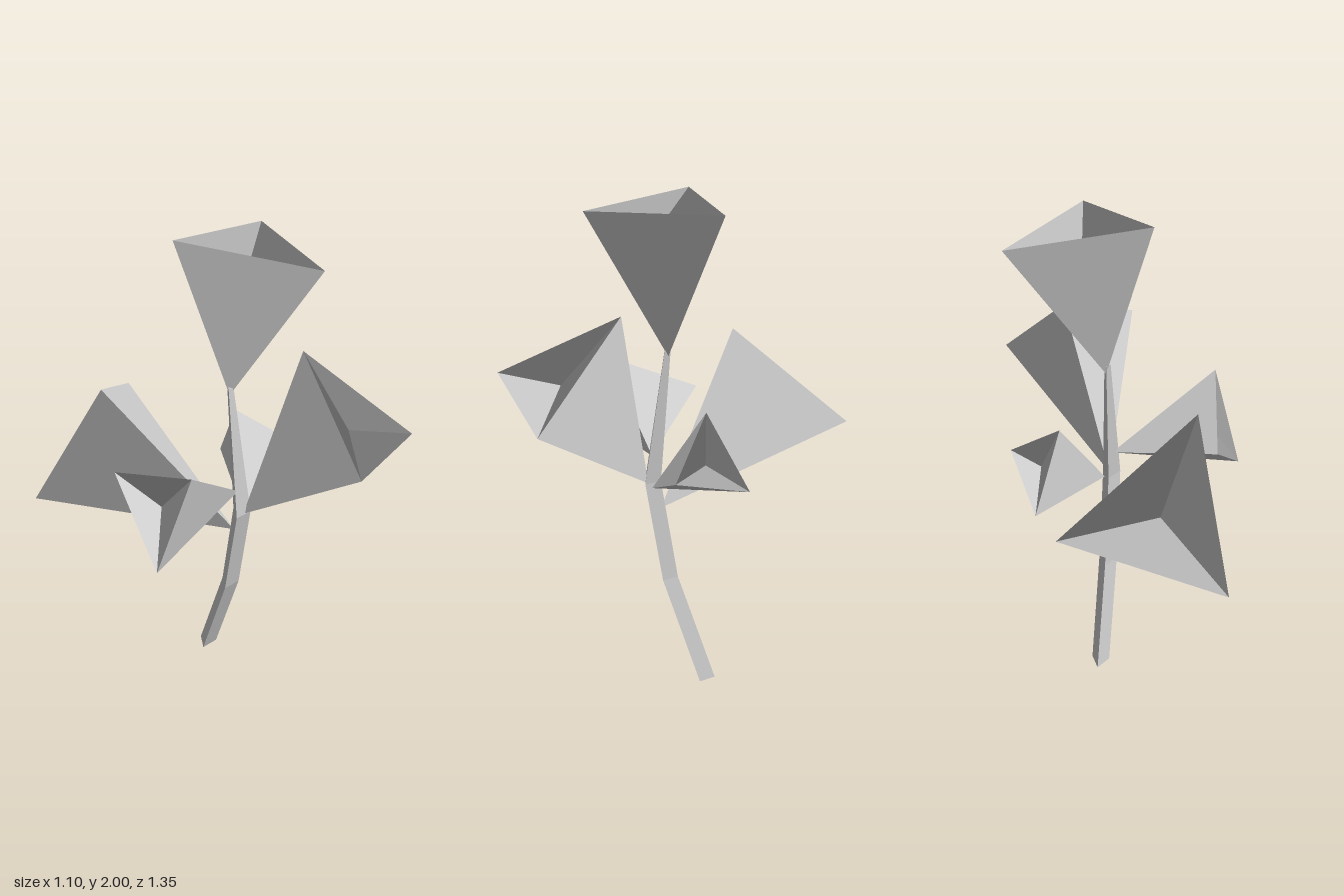
import * as THREE from 'three';

const material = new THREE.MeshStandardMaterial({ color: 0xcccccc, side: THREE.DoubleSide });

// Mesh of four-cornered facets; each facet is folded along its b-d diagonal
// but keeps one common normal, so it is shaded as a single face
function facetMesh(name, facets) {
  const points = [], normals = [];
  for (const [a, b, c, d] of facets) {
    const normal = c.clone().sub(a).cross(d.clone().sub(b)).normalize();
    points.push(a, b, d, b, c, d);
    for (let i = 0; i < 6; i++) normals.push(...normal);
  }
  const geometry = new THREE.BufferGeometry().setFromPoints(points);
  geometry.setAttribute('normal', new THREE.Float32BufferAttribute(normals, 3));
  const mesh = new THREE.Mesh(geometry, material);
  mesh.name = name;
  return mesh;
}

// Three-sided cup: each facet runs from the tip over the rim to the sunken centre
function blossom(name, tipAt, rimAt, dip = 0.91) {
  const tip = new THREE.Vector3(...tipAt);
  const rim = rimAt.map((p) => new THREE.Vector3(...p));
  const mid = new THREE.Vector3().add(rim[0]).add(rim[1]).add(rim[2]).divideScalar(3);
  const normal = new THREE.Triangle(...rim).getNormal(new THREE.Vector3());
  if (normal.dot(mid.clone().sub(tip)) < 0) rim.reverse();
  const centre = tip.clone().lerp(mid, dip);
  return facetMesh(name, rim.map((corner, i) => [tip, rim[(i + 1) % 3], centre, corner]));
}

// Bent three-sided stem, flat side to the front
function stem() {
  // y, front z, back z, half width
  const rings = [
    [0, -0.11, -0.174, 0.038],
    [0.46, 0.043, -0.018, 0.038],
    [0.87, 0.112, 0.05, 0.036],
    [1.41, 0.032, 0.01, 0.012],
  ].map(([y, front, back, w]) => [
    new THREE.Vector3(0.007 - w, y, front),
    new THREE.Vector3(0.007 + w, y, front),
    new THREE.Vector3(0.007, y, back),
  ]);
  const facets = [];
  for (let r = 0; r < rings.length - 1; r++) {
    for (let i = 0; i < 3; i++) {
      const j = (i + 1) % 3;
      facets.push([rings[r][i], rings[r][j], rings[r + 1][j], rings[r + 1][i]]);
    }
  }
  // End caps, split at the middle of the front edge
  const [left, right, back] = rings[0];
  facets.push([left, back, right, left.clone().lerp(right, 0.5)]);
  const [topLeft, topRight, topBack] = rings[rings.length - 1];
  facets.push([topRight, topBack, topLeft, topLeft.clone().lerp(topRight, 0.5)]);
  return facetMesh('stem', facets);
}

export function createModel() {
  const group = new THREE.Group();
  group.name = 'flowerStalk';
  group.add(
    stem(),
    blossom('topBlossom', [0.01, 1.375, 0.02],
      [[-0.172, 2.0, -0.062], [0.325, 1.917, -0.17], [0.163, 1.925, 0.323]]),
    blossom('frontLeftBlossom', [0.015, 0.865, 0.1],
      [[0.213, 1.56, 0.192], [0.55, 1.2, 0.467], [0.037, 1.32, 0.672]]),
    blossom('backRightBlossom', [0.01, 0.76, 0.05],
      [[-0.375, 1.42, -0.257], [0.03, 1.12, -0.675], [-0.553, 0.855, -0.535]], 0.97),
    blossom('rightBlossom', [0.0, 0.975, 0.085],
      [[-0.375, 1.3, 0.272], [-0.5, 0.915, 0.217], [-0.44, 1.16, -0.107]]),
    blossom('backLeftBlossom', [0.03, 0.85, 0.085],
      [[0.16, 1.19, -0.12], [0.22, 0.895, -0.285], [0.4, 0.985, 0]]),
  );
  return group;
}
